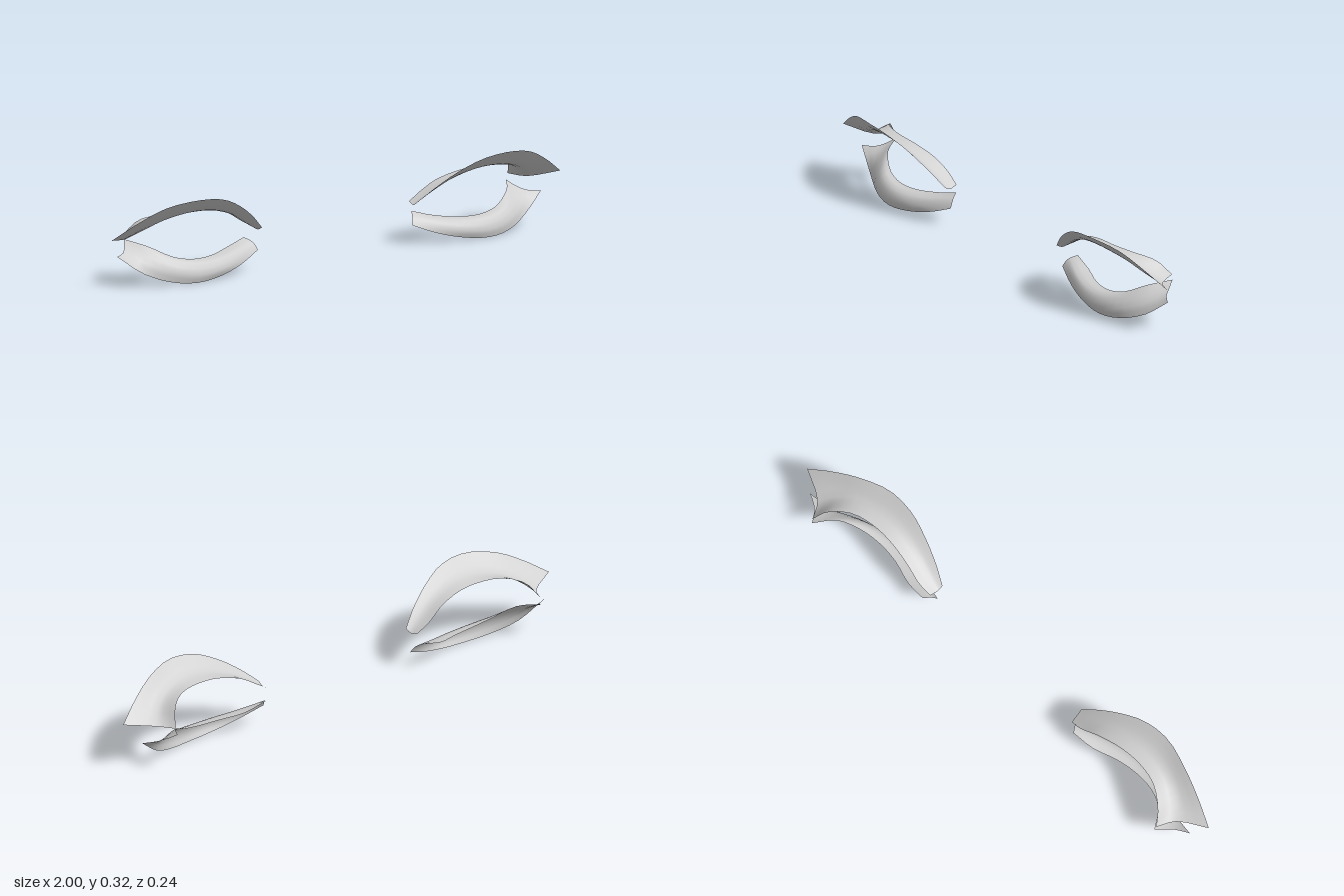
import * as THREE from 'three';

const V = (p) => new THREE.Vector3(...p);
const ALONG = 18, ACROSS = 6;

// Each lid is a curved open sheet through edge-to-edge rails (model's left side).
const lids = {
  // visor-like sheet that slopes in, then levels off towards the eye
  Upper: [
    [[0.345, 0.16, 0.03], [0.41, 0.217, 0.062], [0.49, 0.27, 0.092], [0.58, 0.309, 0.117],
      [0.69, 0.321, 0.121], [0.81, 0.301, 0.087], [0.91, 0.252, 0.05], [1.0, 0.192, 0.01]],
    [[0.346, 0.149, 0.008], [0.407, 0.188, 0.022], [0.485, 0.231, 0.042], [0.58, 0.261, 0.06],
      [0.68, 0.266, 0.06], [0.78, 0.246, 0.036], [0.846, 0.211, -0.002], [0.893, 0.175, -0.048]],
    [[0.352, 0.156, -0.026], [0.405, 0.187, -0.03], [0.47, 0.225, -0.018], [0.57, 0.251, -0.002],
      [0.66, 0.256, 0.0], [0.75, 0.253, -0.02], [0.822, 0.232, -0.07], [0.856, 0.179, -0.114]],
  ],
  // bulging sheet with a rim folded back towards the eye
  Lower: [
    [[0.345, 0.073, 0.005], [0.435, 0.038, 0.032], [0.54, 0.012, 0.053], [0.65, 0.001, 0.06],
      [0.75, 0.011, 0.04], [0.85, 0.048, 0.0], [0.945, 0.118, -0.032]],
    [[0.35, 0.092, -0.006], [0.445, 0.059, 0.032], [0.55, 0.037, 0.064], [0.645, 0.031, 0.069],
      [0.737, 0.046, 0.049], [0.825, 0.08, 0.0], [0.898, 0.122, -0.06]],
    [[0.36, 0.106, -0.02], [0.455, 0.083, 0.02], [0.555, 0.071, 0.048], [0.643, 0.071, 0.052],
      [0.728, 0.085, 0.03], [0.806, 0.118, -0.025], [0.87, 0.138, -0.094]],
    [[0.375, 0.115, -0.042], [0.46, 0.091, -0.03], [0.555, 0.079, 0.002], [0.64, 0.079, 0.012],
      [0.72, 0.095, 0.0], [0.8, 0.136, -0.045], [0.852, 0.156, -0.12]],
  ],
};

// Lofts a smooth sheet across the rails; side = -1 mirrors it.
function lidGeometry(railPoints, side) {
  const rails = railPoints.map((r) => new THREE.CatmullRomCurve3(r.map(V)));
  const pos = [], idx = [];
  for (let i = 0; i <= ALONG; i++) {
    const section = new THREE.CatmullRomCurve3(rails.map((r) => r.getPoint(i / ALONG)));
    for (let j = 0; j <= ACROSS; j++) {
      const p = section.getPoint(j / ACROSS);
      pos.push(p.x * side, p.y, p.z);
    }
  }
  const row = ACROSS + 1;
  for (let i = 0; i < ALONG; i++) {
    for (let j = 0; j < ACROSS; j++) {
      const a = i * row + j, b = a + row, c = b + 1, d = a + 1;
      if (side > 0) idx.push(a, b, c, a, c, d);
      else idx.push(a, c, b, a, d, c);
    }
  }
  const g = new THREE.BufferGeometry();
  g.setAttribute('position', new THREE.Float32BufferAttribute(pos, 3));
  g.setIndex(idx);
  g.computeVertexNormals();
  return g;
}

export function createModel() {
  const model = new THREE.Group();
  model.name = 'eyelids';
  const skin = new THREE.MeshStandardMaterial({ color: 0xd0d0d0, side: THREE.DoubleSide });
  skin.name = 'pale grey';

  for (const [sideName, side] of [['left', 1], ['right', -1]]) {
    const eye = new THREE.Group();
    eye.name = sideName + 'Eyelids';
    for (const [lidName, rails] of Object.entries(lids)) {
      const lid = new THREE.Mesh(lidGeometry(rails, side), skin);
      lid.name = `${sideName}${lidName}Lid`;
      eye.add(lid);
    }
    model.add(eye);
  }
  return model;
}
